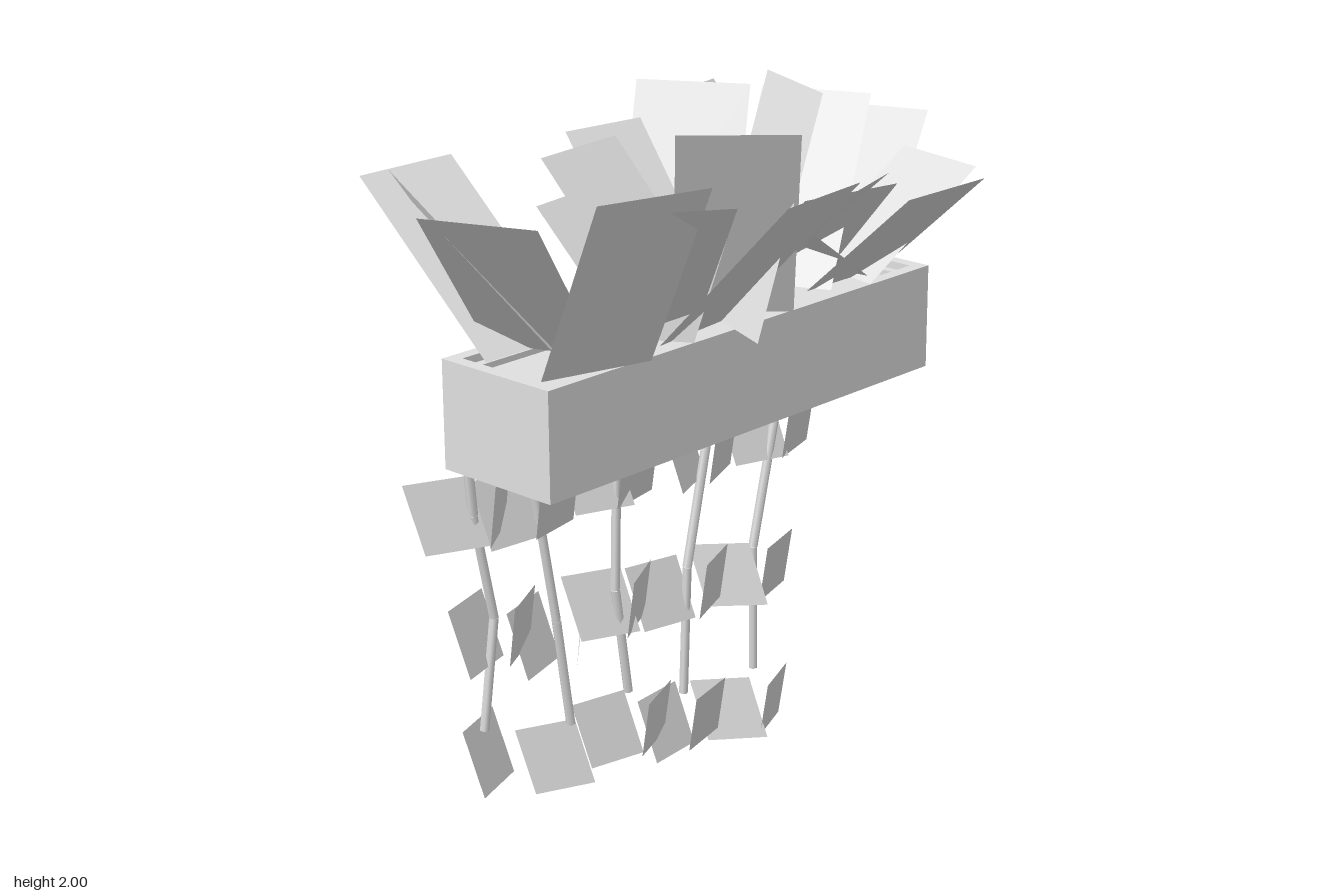
import * as THREE from 'three';

const grey = new THREE.MeshStandardMaterial({ color: 0xe0e0e0, side: THREE.DoubleSide });
grey.name = 'light grey';

function add(parent, geometry, name) {
  const mesh = new THREE.Mesh(geometry, grey);
  mesh.name = name;
  parent.add(mesh);
  return mesh;
}

// Flat rectangular leaf from the middle of its base edge to the middle of its top edge.
function leaf(parent, base, top, width, angle, name) {
  const u = new THREE.Vector3(Math.cos(angle), 0, -Math.sin(angle)).multiplyScalar(width / 2);
  const b = new THREE.Vector3(...base), t = new THREE.Vector3(...top);
  const corners = [b.clone().sub(u), b.clone().add(u), t.clone().add(u), t.clone().sub(u)];
  const g = new THREE.BufferGeometry().setFromPoints(corners);
  g.setIndex([0, 1, 2, 0, 2, 3]);
  g.computeVertexNormals();
  return add(parent, g, name);
}

function frame(w, d, wall, height) {
  const rect = (Type, x, z) => new Type([[-x, -z], [x, -z], [x, z], [-x, z]].map(p => new THREE.Vector2(...p)));
  const shape = rect(THREE.Shape, w / 2, d / 2);
  shape.holes.push(rect(THREE.Path, w / 2 - wall, d / 2 - wall));
  return new THREE.ExtrudeGeometry(shape, { depth: height, bevelEnabled: false }).rotateX(-Math.PI / 2);
}

function stem(parent, a, b) {
  const from = new THREE.Vector3(...a), to = new THREE.Vector3(...b);
  const dir = to.clone().sub(from);
  const mesh = add(parent, new THREE.CylinderGeometry(0.013, 0.013, dir.length(), 6), 'vineStem');
  mesh.position.copy(from).add(to).multiplyScalar(0.5);
  mesh.quaternion.setFromUnitVectors(new THREE.Vector3(0, 1, 0), dir.normalize());
}

// Bushy leaves: base x, z, then top x, y, z, and optionally the yaw of the leaf
const BUSH = [
  // left clump
  [-0.55, -0.08, -0.55, 1.81, -0.51],
  [-0.54, 0.00, -0.85, 1.87, -0.19],
  [-0.54, -0.05, -0.865, 1.83, 0.08],
  [-0.57, 0.16, -0.64, 1.91, 0.42],
  [-0.32, 0.04, -0.575, 1.86, 0.41],
  [-0.50, 0.05, -0.47, 1.70, 0.05, 0.67],
  [-0.46, 0.00, -0.69, 1.68, 0.00],
  // middle clumps
  [-0.18, 0.12, -0.14, 1.83, 0.49],
  [0.00, 0.08, -0.175, 1.94, 0.25],
  [-0.12, 0.04, -0.16, 1.82, -0.30],
  [-0.24, 0.08, -0.28, 1.74, -0.20],
  [-0.02, -0.02, 0.02, 1.84, -0.36],
  [-0.10, 0.16, 0.155, 2.0, 0.14, 1.18],
  [-0.28, -0.05, -0.24, 1.69, 0.12],
  [-0.33, 0.05, -0.29, 1.72, 0.13, -1.05],
  [0.00, -0.13, 0.22, 1.93, -0.26],
  [0.00, 0.00, 0.10, 1.65, 0.20],
  [0.10, 0.00, 0.20, 1.76, 0.335],
  [0.08, -0.08, 0.07, 1.66, -0.16, 1.2],
  // right clump
  [0.41, 0.10, 0.405, 1.73, 0.43],
  [0.50, -0.04, 0.87, 1.77, -0.18],
  [0.45, 0.03, 0.795, 1.69, 0.10],
  [0.40, -0.12, 0.34, 1.87, -0.40],
  [0.25, 0.00, 0.57, 1.87, -0.14],
  [0.36, -0.05, 0.31, 1.70, 0.20],
  [0.46, 0.00, 0.12, 1.67, 0.00],
  [0.54, -0.22, 0.55, 1.79, -0.23, 0.85],
  [0.34, -0.14, 0.36, 1.68, -0.15, -0.7],
];

// Vines: stem points (x, y), and leaf pairs as [y bottom, left x, left yaw, right x, right yaw]
const VINES = [
  { stem: [[-0.68, 1.4], [-0.62, 0.98], [-0.55, 0.68], [-0.58, 0.37]],
    leaves: [[0.90, -0.685, -0.4, -0.55, 0.6], [0.55, -0.59, 0.3, -0.475, 0.5], [0.20, -0.55, 0.35]] },
  { stem: [[-0.395, 1.4], [-0.41, 1.0], [-0.33, 0.6], [-0.27, 0.28]],
    leaves: [[0.86, -0.48, -0.1, -0.35, 0.2], [0.48, -0.39, 0.3, -0.265, 0.75], [0.10, -0.31, -0.4]] },
  { stem: [[-0.02, 1.4], [-0.11, 0.98], [-0.11, 0.62], [-0.05, 0.3]],
    leaves: [[0.86, -0.165, -0.35, -0.055, 0.2], [0.49, -0.14, -0.4, -0.045, 0.5], [0.11, -0.11, -0.2, 0.03, 0.4]] },
  { stem: [[0.29, 1.4], [0.25, 1.0], [0.17, 0.6], [0.17, 0.22]],
    leaves: [[0.84, 0.175, 0.4, 0.28, 0.4], [0.45, 0.09, -0.2, 0.25, 0.4], [0.05, 0.12, 0.1, 0.235, 0.25]] },
  { stem: [[0.60, 1.4], [0.52, 0.96], [0.44, 0.58], [0.46, 0.2]],
    leaves: [[0.83, 0.455, -0.3, 0.59, 0.3], [0.42, 0.365, -0.75, 0.51, 0.3], [0, 0.38, -0.7, 0.515, 0.4]] },
];

export function createModel() {
  const group = new THREE.Group();

  // Planter trough with a rim, an inner liner and soil
  const planter = new THREE.Group();
  planter.name = 'planter';
  group.add(planter);
  add(planter, frame(1.41, 0.36, 0.035, 0.28), 'planterWalls').position.set(-0.045, 1.15, 0);
  add(planter, frame(1.34, 0.29, 0.025, 0.25), 'planterLiner').position.set(-0.045, 1.16, 0);
  add(planter, new THREE.BoxGeometry(1.34, 0.24, 0.29), 'soil').position.set(-0.045, 1.275, 0);
  add(planter, new THREE.BoxGeometry(1.41, 0.01, 0.36), 'planterFloor').position.set(-0.045, 1.155, 0);

  // Leaves fanning out of the trough
  const bush = new THREE.Group();
  bush.name = 'bush';
  group.add(bush);
  for (const [bx, bz, tx, ty, tz, yaw] of BUSH) {
    const angle = yaw ?? Math.atan2(-(tx - bx), -(tz - bz));
    leaf(bush, [bx, 1.43, bz], [tx, ty, tz], 0.3, angle, 'bushLeaf');
  }

  // Vines trailing down behind the trough
  for (const vine of VINES) {
    const g = new THREE.Group();
    g.name = 'vine';
    group.add(g);
    const points = vine.stem.map(([x, y], i) => [x, y, [-0.205, -0.23, -0.24, -0.255][i]]);
    for (let i = 1; i < points.length; i++) stem(g, points[i - 1], points[i]);
    vine.leaves.forEach(([y, ...cards], level) => {
      for (let i = 0; i < cards.length; i += 2) {
        const x = cards[i], yaw = cards[i + 1], side = i ? 1 : -1;
        const z = -0.23 - level * 0.01;
        leaf(g, [x + 0.012, y, z], [x - 0.012, y + 0.18, z + side * 0.05], 0.17, yaw, 'vineLeaf');
      }
    });
  }
  return group;
}
